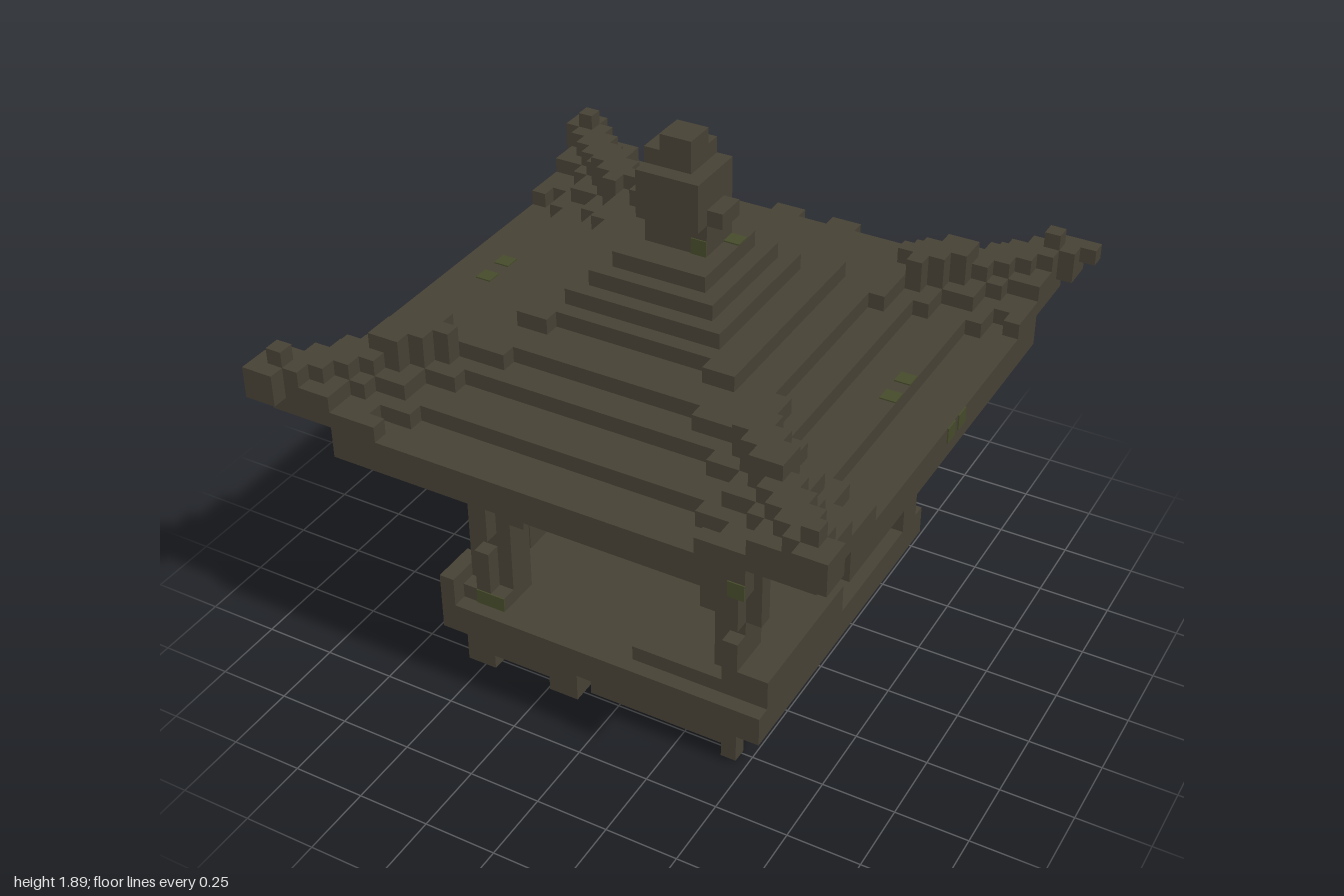
import * as THREE from 'three';
import { mergeGeometries } from 'three/addons/utils/BufferGeometryUtils.js';

const U = 2 / 37; // edge of one block

export function createModel() {
  const wood = new THREE.MeshStandardMaterial({ color: 0x474135 });
  wood.name = 'weatheredWood';
  const moss = new THREE.MeshStandardMaterial({ color: 0x454b2a });
  moss.name = 'moss';
  const model = new THREE.Group();
  model.name = 'pavilion';

  // Each block is [x0, x1, y0, y1, z0, z1] in block units
  const block = ([x0, x1, y0, y1, z0, z1]) =>
    new THREE.BoxGeometry(Math.abs(x1 - x0) * U, (y1 - y0) * U, Math.abs(z1 - z0) * U)
      .translate((x0 + x1) / 2 * U, (y0 + y1) / 2 * U, (z0 + z1) / 2 * U);
  const add = (name, blocks, material = wood) => {
    const mesh = new THREE.Mesh(mergeGeometries(blocks.map(block)), material);
    mesh.name = name;
    model.add(mesh);
  };
  // Repeat blocks on four sides, or mirror them into four corners
  const sides = (list) => list.flatMap(([a, b, c, d, e, f]) => [
    [a, b, c, d, e, f], [e, f, c, d, -b, -a], [-b, -a, c, d, -f, -e], [-f, -e, c, d, a, b]]);
  const corners = (list) => list.flatMap(([a, b, c, d, e, f]) =>
    [[1, 1], [1, -1], [-1, 1], [-1, -1]].map(([s, t]) => [a * s, b * s, c, d, e * t, f * t]));
  const tier = (r, y0, y1, q = r) => [-r, r, y0, y1, -q, q];

  // Base: feet, sill frame, joist ends and floor
  add('feet', [
    [-10, -8, 0, 1, 8, 10], [-4, -2, 0, 1, 8, 10], [2, 3, 0, 1, 8, 9], [8, 9, 0, 1, 9, 10],
    [8, 9, 0, 1, 4, 5], [8, 9, 0, 1, -1, 1], [8, 9, 0, 1, -6, -4], [8, 9, 0, 1, -10, -9],
    [-10, -8, 0, 1, -10, -9], [-4, -2, 0, 1, -10, -9], [-10, -9, 0, 1, -6, -4],
    [-10, -9, 0, 1, -1, 1], [-10, -9, 0, 1, 4, 5]]);
  add('sillFrame', [
    [-10, -2, 1, 3, 8, 10], [-1, 9, 1, 3, 8, 10], [-10, -2, 1, 3, -10, -8], [-1, 9, 1, 3, -10, -8],
    [-10, -8, 1, 3, -8, 8], [8, 9, 1, 3, -8, 8], ...sides([[-8, 8, 2, 3, 7, 8]])]);
  const joists = [];
  for (let t = -9; t < 10; t += 2) {
    joists.push([9, 10, 2, 3, t, t + 1], [-11, -10, 2, 3, t, t + 1], [t, t + 1, 2, 3, -11, -10]);
  }
  add('joistEnds', joists);
  add('floor', [[-11, 11, 3, 5, -12, 11]]);

  // Broken low rails around the floor, with slats on the left-hand edge
  add('rails', [
    [9, 11, 5, 7, 0, 10], [2, 8, 5, 6, 9, 10], [1, 11, 5, 7, -11, -9], [-10, -9, 5, 7, -8, 4]]);
  const slats = [];
  for (let t = -10; t < 8; t += 3) slats.push([-12, -11, 3, 5, t, t + 2], [-11, -10, 5, 7, t, t + 2]);
  add('sideSlats', [...slats, [-11, -10, 5, 7, 8, 11]]);

  // Posts: a square core with outward ribs
  add('posts', corners([
    [7, 9, 5, 16, 7, 9], [8, 9, 5, 9, 9, 10], [8, 9, 10, 16, 9, 10], [9, 10, 10, 16, 8, 9]]));
  add('postPlinths', [
    [-10, -9, 5, 10, 8, 9], [-10, -9, 5, 10, -9, -8], [-10, -7, 5, 6, 7, 10], [-10, -7, 5, 6, -10, -7]]);
  add('postBraces', [
    [-7, -6, 11, 13, 8, 9], [6, 7, 10, 13, 8, 9], [6, 7, 10, 13, -9, -8], [-7, -6, 11, 13, -9, -8],
    [8, 9, 11, 13, 6, 7], [-9, -8, 11, 13, 6, 7], [8, 9, 11, 13, -11, -10], [-9, -8, 11, 13, -11, -10]]);

  // Ring beams and stepped brackets below the eaves
  add('ringBeams', sides([[-10, 10, 13, 16, 8, 9], [-10, 10, 16, 18, 9, 10], [-11, 11, 18, 20, 9, 11]]));
  add('cornerBrackets', corners([
    [8, 11, 14, 16, 8, 9], [8, 9, 14, 16, 9, 11],
    [9, 12, 16, 18, 8, 9], [8, 9, 16, 18, 9, 12], [7, 10, 18, 20, 11, 12], [11, 12, 18, 20, 7, 10]]));
  add('middleBrackets', sides([
    [-1, 1, 15, 16, 9, 10], [-2, 2, 16, 17, 9, 11], [-3, 3, 17, 18, 9, 11], [-4, 4, 18, 19, 9, 12]]));
  add('purlins', sides([[-7, 7, 19, 20, 13, 14]]));
  add('eavePendants', [[14, 15, 18, 20, -1, 1], [-15, -14, 18, 20, -1, 1]]);

  // Roof: plate, rising rim, then stepped tiers
  add('roofPlate', [[-17, 17, 20, 21, -12, 12], [-12, 12, 20, 21, -17, 17]]);
  add('eaveRim', sides([
    [-10, 10, 19, 21, 16, 17], [-13, -10, 20, 22, 16, 17], [10, 13, 20, 22, 16, 17],
    [-16, -13, 21, 23, 16, 17], [13, 16, 21, 23, 16, 17]]));
  add('rimTails', sides([[-13, -10, 19, 20, 16, 17], [10, 13, 19, 20, 16, 17]]));
  add('roofTiers', [tier(14, 21, 22), tier(11, 22, 23), tier(9, 23, 24),
    tier(7, 24, 25, 6), tier(5, 25, 26), tier(4, 26, 27), tier(3, 27, 28)]);

  // Each tier swells outwards towards the hips
  add('cornerRises', corners([
    [9, 15, 21, 22, 9, 15], [11, 16, 21, 22, 11, 16], [13, 17, 21, 22, 13, 17],
    [8, 12, 22, 23, 8, 12], [10, 14, 22, 23, 10, 14], [13, 16, 22, 23, 13, 16],
    [6, 10, 23, 24, 6, 10], [5, 7, 24, 25, 5, 7]]));

  // Hip ridges running to the upturned corner tips
  const ridge = [];
  for (let d = 8; d < 16; d++) {
    const top = d >= 10 && d < 13 ? 25 : 24;
    ridge.push([d, d + 1, 22, top, d - 1, d + 1], [d - 1, d, 22, top, d, d + 1]);
    ridge.push([d - 2, d + 1, 21, 23, d - 2, d + 1]);
  }
  add('hipRidges', corners(ridge));
  add('cornerTips', [...corners([[15, 17, 22, 24, 15, 17], [16, 18, 22, 24, 16, 18], [16, 17, 24, 25, 16, 17]]),
    [17, 19, 23, 24, -18, -17]]);
  add('backRafterEnds', [-9, -3, 1, 7].map((x) => [x, x + 2, 19, 21, -18, -17]));

  // Finial
  add('finial', [
    [-2, 2, 28, 30, -2, 1], [-2, 2, 30, 33, -2, 2], [-3, 3, 30, 31, -1, 1], [-1, 1, 30, 31, -3, 2],
    [-2, 1, 33, 34, -2, 1], [-1, 1, 34, 35, -1, 1]]);

  // Thin moss patches
  const e = 0.08;
  add('mossPatches', [
    [-9, -7, 5, 6, 10, 10 + e], [12, 13, 19, 20, 17, 17 + e], [1, 2, 28, 29, 1, 1 + e],
    [17, 17 + e, 20, 21, -0.5, 0.5], [17, 17 + e, 20, 21, -2, -1],
    [9, 9 + e, 1, 2, 7, 9], [9, 9 + e, 1, 2, 0, 2], [9, 9 + e, 1, 2, -9, -7],
    ...[-14, 13].flatMap((x) => [[x, x + 1, 22, 22 + e, -2, -1], [x, x + 1, 22, 22 + e, 0, 1]]),
    [-3, -2, 28, 28 + e, -2, -1], [2, 3, 28, 28 + e, -2, -1]], moss);

  model.position.x = -U / 2;
  const root = new THREE.Group();
  root.name = 'pavilionRoot';
  root.add(model);
  return root;
}
